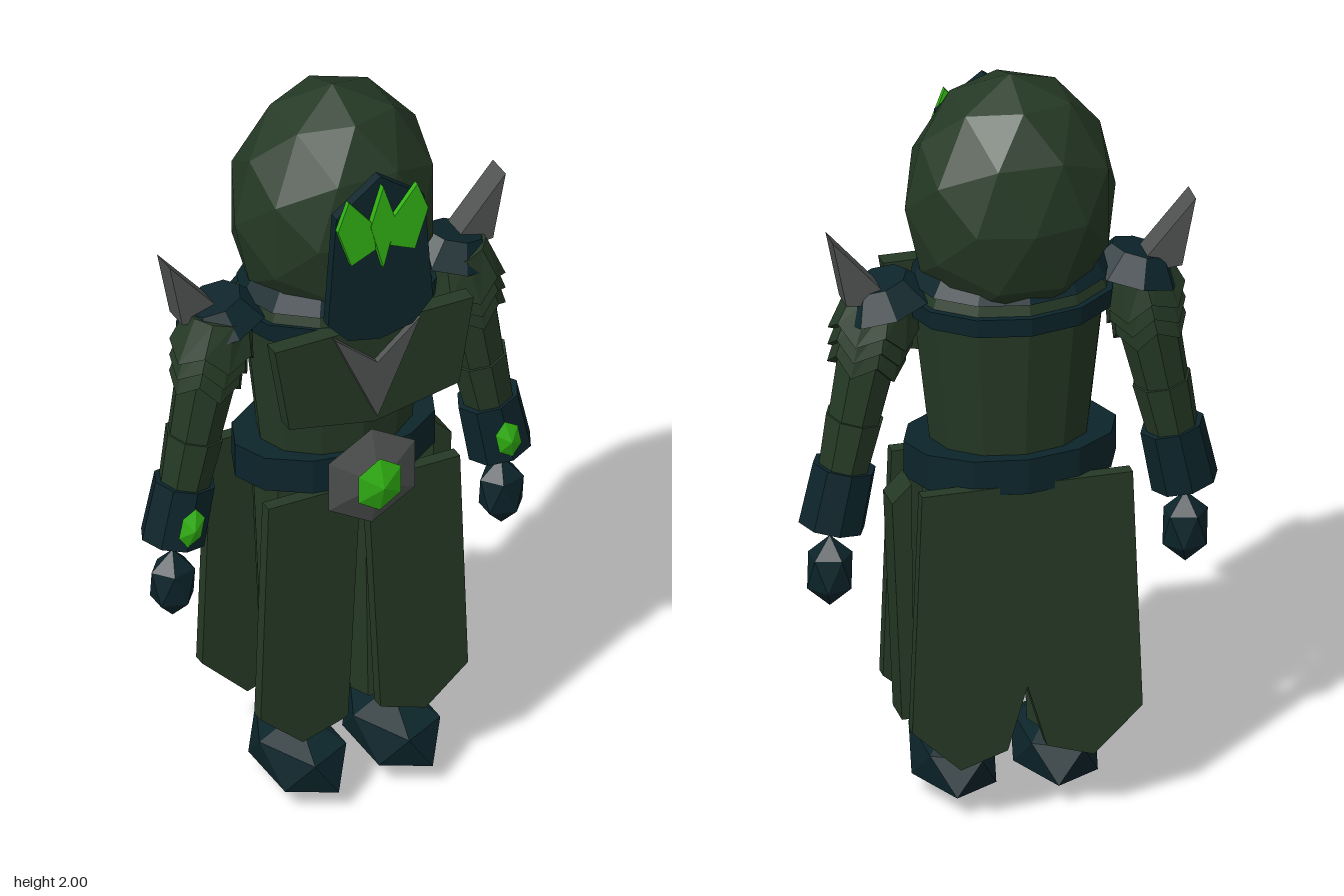
import * as THREE from 'three';

const mat = (name, color) => Object.assign(new THREE.MeshStandardMaterial({ color }), { name });

export function createModel() {
  const green = mat('forest cloth', 0x253925);
  const teal = mat('dark teal', 0x0c252b);
  const grey = mat('dull metal', 0x505252);
  const glow = mat('bright green', 0x32b414);

  const root = new THREE.Group();
  root.name = 'hoodedFigure';

  // Faceted mesh: every face gets its own normal
  const add = (name, geo, material, pos = [0, 0, 0], parent = root) => {
    const g = geo.index ? geo.toNonIndexed() : geo;
    g.computeVertexNormals();
    const m = new THREE.Mesh(g, material);
    m.name = name;
    m.position.set(...pos);
    parent.add(m);
    return m;
  };
  // Flat outline extruded between two depths
  const plate = (pts, z0, z1) => {
    const shape = new THREE.Shape(pts.map(([x, y]) => new THREE.Vector2(x, y)));
    return new THREE.ExtrudeGeometry(shape, { depth: z1 - z0, bevelEnabled: false }).translate(0, 0, z0);
  };
  // Elliptical frustum from y0 to y1, given x radii and a z squash
  const frustum = (y0, y1, r0, r1, squash = 1, sides = 12) =>
    new THREE.CylinderGeometry(r1, r0, y1 - y0, sides).translate(0, (y0 + y1) / 2, 0).scale(1, 1, squash);
  // Icosahedron standing on a vertex
  const nugget = (x, y, z) =>
    new THREE.IcosahedronGeometry(1, 0).rotateZ(Math.atan(2 / (1 + Math.sqrt(5)))).scale(x, y, z);
  // Six-sided double pyramid facing the front
  const hexGem = (x, y, z) =>
    new THREE.SphereGeometry(1, 6, 2).rotateX(Math.PI / 2).rotateZ(Math.PI / 6).scale(x, y, z);
  const mirrored = (half) => [...half, ...half.filter(([x]) => x !== 0).reverse().map(([x, y]) => [-x, y])];

  // Hood, mask and eyes
  add('hood', new THREE.IcosahedronGeometry(1, 1).rotateY(Math.PI / 2).scale(0.27, 0.34, 0.24), green, [0, 1.66, -0.02]);
  add('mask', plate(mirrored([[0, 1.88], [0.122, 1.79], [0.145, 1.48], [0.09, 1.42], [0, 1.4]]), 0.217, 0.243), teal);
  add('maskCrest', plate([[0, 1.86], [-0.035, 1.75], [0, 1.62], [0.035, 1.75]], 0.243, 0.26), glow);
  for (const s of [1, -1]) {
    add('eye', plate([[0.125, 1.76], [0.095, 1.84], [0.03, 1.76], [0.02, 1.68], [0.088, 1.65]]
      .map(([x, y]) => [s * x, y]), 0.244, 0.258), glow);
  }

  // Torso and collar
  add('torso', frustum(0.98, 1.42, 0.2, 0.25, 0.76), green, [0, 0, -0.01]);
  add('lowerCollar', frustum(1.37, 1.42, 0.265, 0.27, 0.78), teal, [0, 0, -0.015]);
  add('collarCloth', frustum(1.42, 1.46, 0.255, 0.24, 0.78), green, [0, 0, -0.01]);
  add('upperCollar', frustum(1.45, 1.5, 0.255, 0.225, 0.78), teal, [0, 0, -0.01]);
  add('chestPlate', plate(mirrored([[0, 1.42], [0.275, 1.42], [0.235, 1.18], [0, 1.135]]), 0.165, 0.21), green);
  add('chestEmblem', plate(mirrored([[0, 1.32], [0.118, 1.42], [0, 1.16]]), 0.21, 0.228), grey);

  // Belt and buckle
  add('belt', frustum(0.92, 1.015, 0.272, 0.272, 0.66), teal, [0, 0, -0.015]);
  add('buckle', hexGem(0.138, 0.138, 0.045), grey, [0, 0.965, 0.195]);
  add('buckleGem', hexGem(0.068, 0.076, 0.025), glow, [0, 0.965, 0.24]);

  // Skirt panels
  add('backPanel', plate(mirrored([[0, 0.94], [0.27, 0.94], [0.295, 0.29], [0.17, 0.17], [0.05, 0.21], [0, 0.38]]),
    -0.182, -0.148), green);
  for (const s of [1, -1]) {
    add('frontPanel', plate([[0.01, 0.92], [0.265, 0.92], [0.287, 0.3], [0.17, 0.2], [0.045, 0.24]]
      .map(([x, y]) => [s * x, y]), 0.12, 0.155), green);
  }
  add('sidePanel', plate([[0.27, 0.93], [0.32, 0.88], [0.295, 0.28], [0.265, 0.28]], -0.085, 0), green);

  for (const s of [1, -1]) {
    // Leg
    const leg = new THREE.Group();
    leg.name = s > 0 ? 'leftLeg' : 'rightLeg';
    root.add(leg);
    add('trouserLeg', frustum(0.2, 0.95, 0.075, 0.105, 1, 8), green, [s * 0.12, 0, -0.01], leg);
    add('kneeGuard', nugget(0.06, 0.08, 0.035), teal, [s * 0.12, 0.575, 0.085], leg);
    add('boot', nugget(0.117, 0.105, 0.192), teal, [s * 0.13, 0.107, 0.045], leg);

    // Arm, leaning outwards from the shoulder
    const arm = new THREE.Group();
    arm.name = s > 0 ? 'leftArm' : 'rightArm';
    arm.position.set(s * 0.335, 1.38, 0);
    arm.rotation.z = s * 0.2;
    root.add(arm);
    add('upperArm', frustum(-0.3, 0, 0.068, 0.085, 1, 8), green, [0, 0, 0], arm);
    add('forearm', frustum(-0.46, -0.29, 0.064, 0.075, 1, 8), green, [0, 0, 0], arm);
    add('cuff', frustum(-0.59, -0.425, 0.086, 0.082, 0.9, 8), teal, [0, 0, 0], arm);
    add('cuffGem', hexGem(0.036, 0.055, 0.02), glow, [0, -0.52, 0.078], arm);

    // Layered shoulder guards with jagged hems
    for (let i = 0; i < 3; i++) {
      const g = frustum(-0.125, 0, 0.112 - i * 0.008, 0.085, 0.92, 10);
      const p = g.attributes.position;
      for (let v = 0; v < p.count; v++) {
        if (p.getY(v) > -0.06 || Math.hypot(p.getX(v), p.getZ(v)) < 0.01) continue;
        const step = Math.round(Math.atan2(p.getX(v), p.getZ(v) / 0.92) / (Math.PI / 5));
        if (step % 2) p.setY(v, p.getY(v) + 0.04);
      }
      add('shoulderGuard', g, green, [0, 0.055 - i * 0.045, 0], arm);
    }
    const cap = add('shoulderCap', frustum(-0.035, 0.035, 0.125, 0.075, 0.85, 8), teal, [s * 0.325, 1.435, -0.01]);
    cap.rotation.z = -s * 0.28;
    add('shoulderSpike', plate([[0.465, 1.61], [0.3, 1.42], [0.43, 1.43]].map(([x, y]) => [s * x, y]), -0.06, 0.01), grey);

    add('hand', nugget(0.065, 0.097, 0.058), teal, [s * 0.455, 0.673, 0.005]);
  }
  return root;
}
